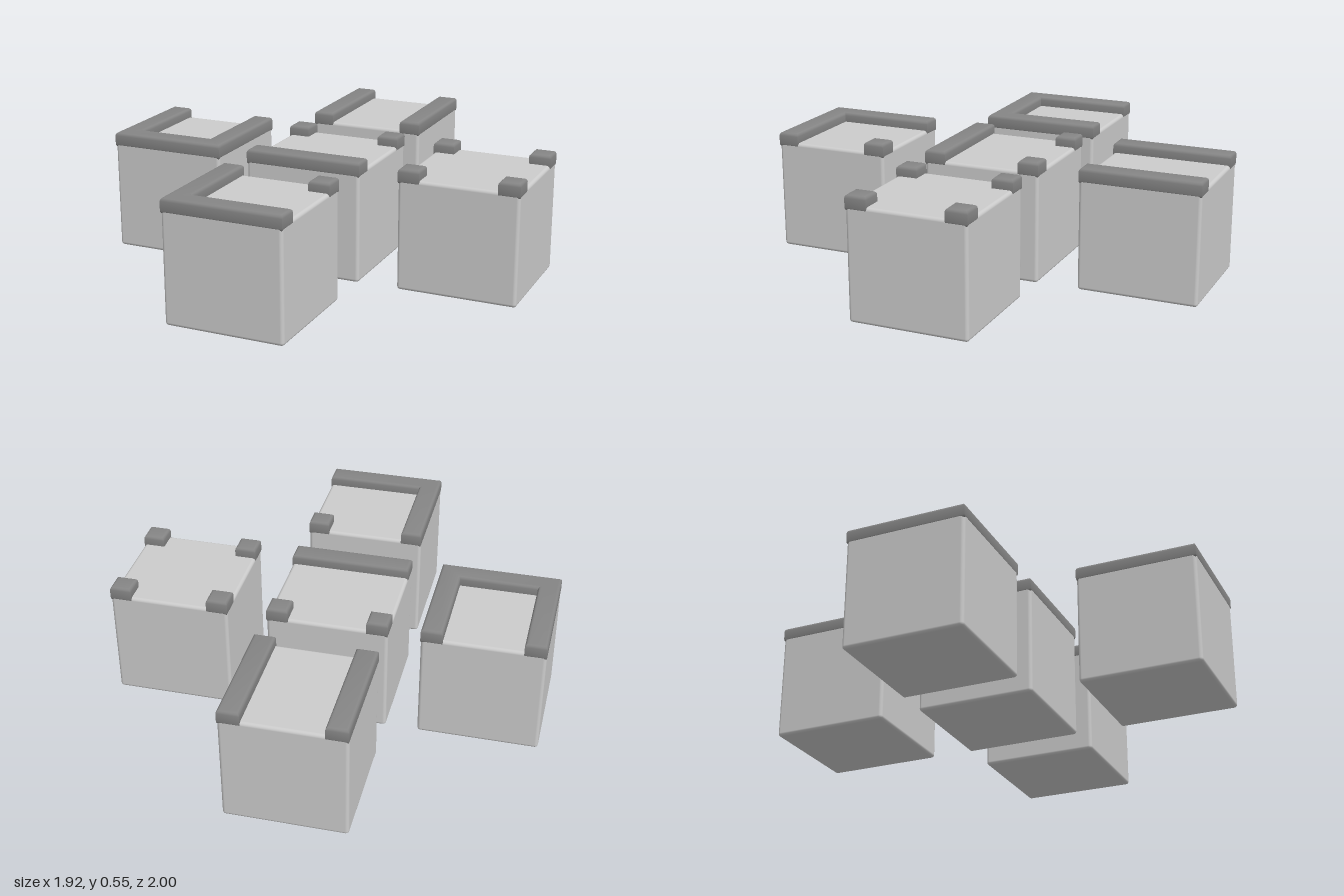
import * as THREE from 'three';
import { RoundedBoxGeometry } from 'three/addons/geometries/RoundedBoxGeometry.js';
import { toCreasedNormals } from 'three/addons/utils/BufferGeometryUtils.js';

const H = 0.267;      // half width of a block
const TOP = 0.5;      // height of the plain block
const RIM = 0.545;    // height of the raised trim
const I = H - 0.095;  // inner edge of the trim
const O = H + 0.001;  // outer edge of the trim

const bodyMaterial = new THREE.MeshStandardMaterial({ color: 0xcccccc });
const trimMaterial = new THREE.MeshStandardMaterial({ color: 0x858585 });

// Trim outlines as [x, z] points, seen from above
const rect = (x0, z0, x1, z1) => [[x0, z0], [x0, z1], [x1, z1], [x1, z0]];
const leftBar = rect(I, -O, O, O);
const rightBar = rect(-O, -O, -I, O);
const frontBar = rect(-O, I, O, O);
const corner = (sx, sz) => rect(
  sx > 0 ? I : -O, sz > 0 ? I : -O, sx > 0 ? O : -I, sz > 0 ? O : -I);
const lShape = [[-O, -O], [-O, O], [O, O], [O, I], [-I, I], [-I, -O]];
const uShape = [[-O, -O], [-O, O], [O, O], [O, -O], [I, -O], [I, I], [-I, I], [-I, -O]];

// Bevelled strip sunk slightly into the top of the block
function makeTrim(points) {
  const b = 0.015, bottom = TOP - 0.025;
  const shape = new THREE.Shape(points.map(([x, z]) => new THREE.Vector2(x, -z)));
  const geo = new THREE.ExtrudeGeometry(shape, {
    depth: RIM - bottom - 2 * b, bevelEnabled: true,
    bevelThickness: b, bevelSize: b, bevelOffset: -b, bevelSegments: 3,
  });
  geo.rotateX(-Math.PI / 2);
  geo.translate(0, bottom + b, 0);
  const mesh = new THREE.Mesh(toCreasedNormals(geo, 0.7), trimMaterial);
  mesh.name = 'trim';
  return mesh;
}

function makeBlock(name, x, z, trims) {
  const block = new THREE.Group();
  block.name = name;
  const body = new THREE.Mesh(new RoundedBoxGeometry(2 * H, TOP, 2 * H, 4, 0.015), bodyMaterial);
  body.name = 'body';
  body.position.y = TOP / 2;
  block.add(body, ...trims.map(makeTrim));
  block.position.set(x, 0, z);
  return block;
}

export function createModel() {
  const model = new THREE.Group();
  model.name = 'blockSet';
  model.add(
    makeBlock('backBlock', -0.02, -0.732, [leftBar, rightBar]),
    makeBlock('rightBlock', -0.695, -0.014, [uShape]),
    makeBlock('centreBlock', -0.02, -0.014, [frontBar, corner(-1, -1), corner(1, -1)]),
    makeBlock('leftBlock', 0.692, -0.014,
      [corner(-1, -1), corner(1, -1), corner(-1, 1), corner(1, 1)]),
    makeBlock('frontBlock', -0.02, 0.732, [lShape, corner(1, -1)]),
  );
  return model;
}
